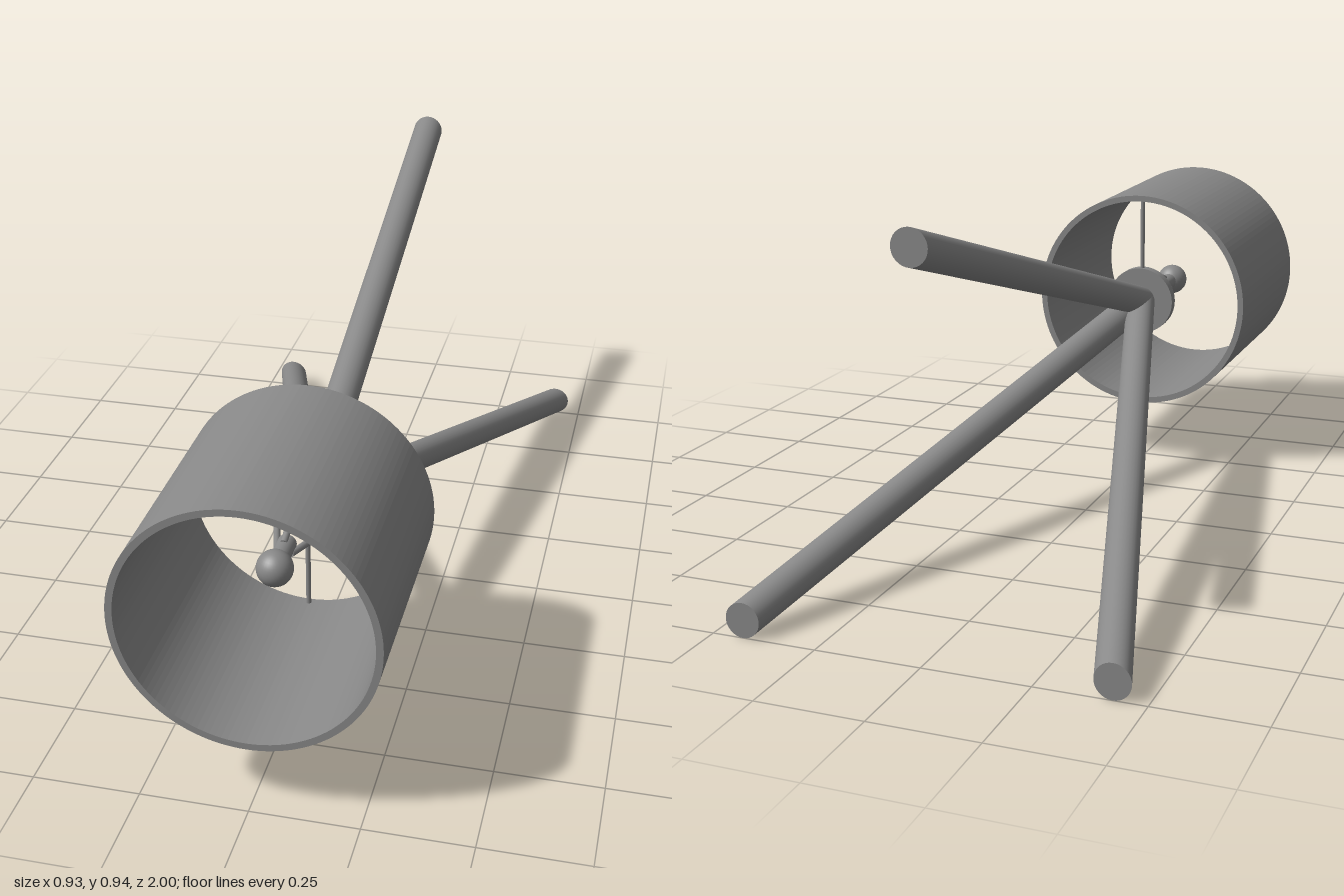
import * as THREE from 'three';

const AXIS_Y = 0.47; // height of the lamp axis, which runs along z

export function createModel() {
  const group = new THREE.Group();
  const grey = new THREE.MeshStandardMaterial({ color: 0x888888 });
  grey.name = 'grey';

  const add = (name, geometry) => {
    const mesh = new THREE.Mesh(geometry, grey);
    mesh.name = name;
    group.add(mesh);
    return mesh;
  };
  // Cylinder along z, between two depths
  const drum = (name, r, z0, z1, segments = 48) => {
    const g = new THREE.CylinderGeometry(r, r, z1 - z0, segments).rotateX(Math.PI / 2);
    return add(name, g.translate(0, AXIS_Y, (z0 + z1) / 2));
  };
  // Round bar between two points
  const bar = (name, a, b, r) => {
    const d = b.clone().sub(a);
    const mesh = add(name, new THREE.CylinderGeometry(r, r, d.length(), 16));
    mesh.position.copy(a).add(b).multiplyScalar(0.5);
    mesh.quaternion.setFromUnitVectors(new THREE.Vector3(0, 1, 0), d.normalize());
  };

  // Open drum shade with wall thickness
  const ring = new THREE.Shape().absarc(0, 0, 0.297, 0, Math.PI * 2);
  ring.holes.push(new THREE.Path().absarc(0, 0, 0.281, 0, Math.PI * 2, true));
  const shade = new THREE.ExtrudeGeometry(ring, { depth: 0.555, bevelEnabled: false, curveSegments: 64 });
  add('shade', shade.translate(0, AXIS_Y, 0.445));

  // Three splayed legs, sheared so that both ends are cut square to z
  for (const [x, y] of [[0, 0.896], [-0.425, 0.043], [0.425, 0.043]]) {
    const length = 1.447;
    const leg = new THREE.CylinderGeometry(0.041, 0.041, length, 32).rotateX(Math.PI / 2);
    const dx = x / length, dy = (y - AXIS_Y) / length;
    const shear = new THREE.Matrix4().set(
      1, 0, -dx, 0,
      0, 1, -dy, 0,
      0, 0, 1, 0,
      0, 0, 0, 1);
    leg.applyMatrix4(shear);
    leg.translate(x / 2, (y + AXIS_Y) / 2, -1 + length / 2);
    add('leg', leg);
  }

  // Hub plate and the rod that carries the shade
  drum('hub', 0.092, 0.446, 0.474);
  bar('shadeRod', new THREE.Vector3(0, AXIS_Y - 0.286, 0.46), new THREE.Vector3(0, AXIS_Y + 0.286, 0.46), 0.006);

  // Struts from the hub to the bulb socket
  for (let i = 0; i < 3; i++) {
    const a = Math.PI / 2 + (i * Math.PI * 2) / 3;
    const at = (r, z) => new THREE.Vector3(r * Math.cos(a), AXIS_Y + r * Math.sin(a), z);
    bar('strut', at(0.084, 0.468), at(0.018, 0.67), 0.008);
  }

  // Socket and bulb
  drum('socket', 0.022, 0.64, 0.72, 24);
  add('bulb', new THREE.SphereGeometry(0.042, 32, 20).translate(0, AXIS_Y, 0.745));

  return group;
}
